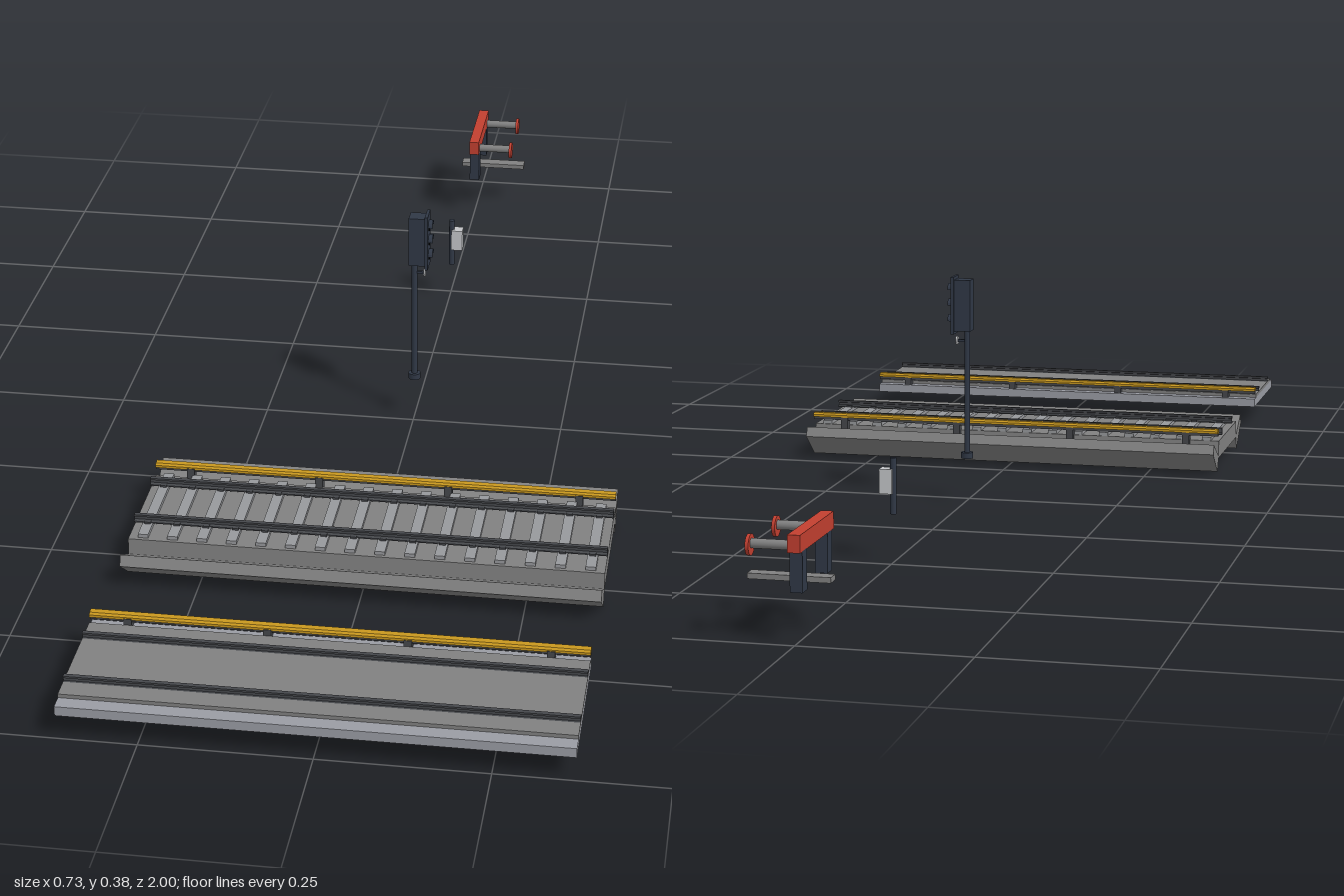
import * as THREE from 'three';

const material = (name, color) => {
  const m = new THREE.MeshStandardMaterial({ color });
  m.name = name;
  return m;
};

export function createModel() {
  const paleConcrete = material('pale concrete', 0x9a9ca4);
  const concrete = material('concrete', 0x808080);
  const sleeperGrey = material('sleeper grey', 0x97999c);
  const steel = material('rail steel', 0x45474b);
  const yellow = material('cover yellow', 0xc9981f);
  const red = material('signal red', 0xc23f30);
  const navy = material('dark navy', 0x303846);
  const lightGrey = material('cabinet grey', 0xc4c6c9);
  const black = material('lens black', 0x16181c);

  const model = new THREE.Group();
  const group = (name) => {
    const g = new THREE.Group();
    g.name = name;
    model.add(g);
    return g;
  };
  const add = (parent, name, geometry, mat, x, y, z) => {
    const mesh = new THREE.Mesh(geometry, mat);
    mesh.name = name;
    mesh.position.set(x, y, z);
    parent.add(mesh);
  };
  // Box given by its minimum and maximum on each axis
  const box = (parent, name, mat, [x0, x1], [y0, y1], [z0, z1]) => add(
    parent, name, new THREE.BoxGeometry(x1 - x0, y1 - y0, z1 - z0), mat,
    (x0 + x1) / 2, (y0 + y1) / 2, (z0 + z1) / 2,
  );
  // Cylinder standing up, or lying along x
  const rod = (parent, name, mat, r, length, x, y, z, alongX = false) => {
    const geometry = new THREE.CylinderGeometry(r, r, length, 16);
    if (alongX) geometry.rotateZ(-Math.PI / 2);
    add(parent, name, geometry, mat, x, y, z);
  };
  // Cross-section in (z, y) swept along x
  const sweep = (parent, name, mat, points, length, x, y, z) => {
    const shape = new THREE.Shape(points.map(([a, b]) => new THREE.Vector2(a, b)));
    const geometry = new THREE.ExtrudeGeometry(shape, { depth: length, bevelEnabled: false });
    geometry.translate(0, 0, -length / 2).rotateY(-Math.PI / 2);
    add(parent, name, geometry, mat, x, y, z);
  };

  const HALF = 0.367;
  const ALONG = [-HALF, HALF];

  // I-shaped running rail
  const railSide = [[0.006, 0], [0.006, 0.002], [0.0015, 0.004], [0.0015, 0.008], [0.0035, 0.009], [0.0035, 0.012]];
  const railSection = [...railSide, ...railSide.map(([z, y]) => [-z, y]).reverse()];
  const runningRail = (parent, y, z) => sweep(parent, 'runningRail', steel, railSection, HALF * 2, 0, y, z);

  // Power rail with a yellow cover held by four brackets
  const powerRail = (parent, z, y) => {
    box(parent, 'powerRail', steel, ALONG, [0.062, 0.068], [z - 0.004, z + 0.004]);
    sweep(parent, 'powerRailCover', yellow, [
      [-0.008, 0.067], [0.008, 0.067], [0.008, 0.071], [0.005, 0.074], [-0.005, 0.074], [-0.008, 0.071],
    ], HALF * 2, 0, 0, z);
    for (const x of [-0.31, -0.103, 0.103, 0.31]) {
      box(parent, 'powerRailBracket', steel, [x - 0.006, x + 0.006], [y, 0.069], [z - 0.006, z + 0.009]);
    }
  };

  // Flat track slab
  const slab = group('slabTrack');
  box(slab, 'slabBase', paleConcrete, ALONG, [0.038, 0.053], [0.77, 1]);
  box(slab, 'slabTop', concrete, ALONG, [0.053, 0.059], [0.788, 0.977]);
  for (const z of [0.828, 0.942]) runningRail(slab, 0.056, z);
  powerRail(slab, 0.779, 0.053);

  // Raised deck with slanted wings on both sides
  const deck = group('sleeperTrack');
  const halfSection = [[0.1, 0.022], [0.111, 0], [0.161, 0.039], [0.153, 0.055], [0.102, 0.026], [0.1, 0.052]];
  const mirrored = halfSection.map(([z, y]) => [-z, y]).reverse();
  sweep(deck, 'deckWithWings', concrete, [...halfSection, ...mirrored], HALF * 2, 0, 0, 0.436);
  for (let i = 0; i < 16; i++) {
    const x = -0.345 + i * 0.046;
    box(deck, 'sleeper', sleeperGrey, [x - 0.008, x + 0.008], [0.05, 0.058], [0.338, 0.53]);
    for (const z of [0.373, 0.488]) {
      box(deck, 'railFastener', steel, [x - 0.005, x + 0.005], [0.058, 0.061], [z - 0.01, z + 0.01]);
    }
  }
  for (const z of [0.373, 0.488]) runningRail(deck, 0.057, z);
  powerRail(deck, 0.33, 0.045);

  // Signal mast, with its lamps facing +x
  const signal = group('signal');
  const sz = -0.016;
  rod(signal, 'mastBase', navy, 0.01, 0.01, 0, 0.077, sz);
  rod(signal, 'mast', navy, 0.0048, 0.22, 0, 0.182, sz);
  box(signal, 'signalHead', navy, [-0.008, 0.02], [0.286, 0.371], [sz - 0.013, sz + 0.013]);
  box(signal, 'backboard', navy, [0.019, 0.024], [0.281, 0.376], [sz - 0.017, sz + 0.017]);
  // Half-ring section of the hoods
  const arc = (r, from, to) => Array.from({ length: 9 }, (_, i) => {
    const a = from + (to - from) * i / 8;
    return [r * Math.cos(a), r * Math.sin(a)];
  });
  const hoodSection = [...arc(0.0105, 0, Math.PI), ...arc(0.009, Math.PI, 0)];
  for (const y of [0.302, 0.328, 0.354]) {
    rod(signal, 'lens', black, 0.008, 0.002, 0.0245, y, sz, true);
    sweep(signal, 'lampHood', navy, hoodSection, 0.008, 0.027, y, sz);
  }
  rod(signal, 'smallIndicator', lightGrey, 0.007, 0.003, 0.017, 0.269, sz, true);
  box(signal, 'indicatorArm', navy, [0, 0.0155], [0.267, 0.271], [sz - 0.002, sz + 0.002]);

  // Small cabinet on a post
  const cabinet = group('cabinetPost');
  const cz = -0.468;
  rod(cabinet, 'post', navy, 0.005, 0.087, 0.005, 0.1145, cz);
  box(cabinet, 'cabinet', lightGrey, [0.005, 0.025], [0.103, 0.141], [cz - 0.01, cz + 0.01]);

  // End-of-track stop, with its bumpers facing +x
  const stop = group('trackStop');
  box(stop, 'crossBeam', red, [-0.009, 0.009], [0.128, 0.153], [-1, -0.838]);
  for (const side of [-1, 1]) {
    const z = -0.919 + side * 0.06;
    box(stop, 'leg', navy, [-0.009, 0.009], [0.071, 0.129], [z - 0.011, z + 0.011]);
    rod(stop, 'bumperShaft', concrete, 0.007, 0.057, 0.0375, 0.134, z, true);
    rod(stop, 'bumperHead', red, 0.015, 0.005, 0.0685, 0.132, z, true);
  }
  box(stop, 'groundBeam', concrete, [-0.031, 0.089], [0.072, 0.08], [-0.93, -0.908]);

  return model;
}
